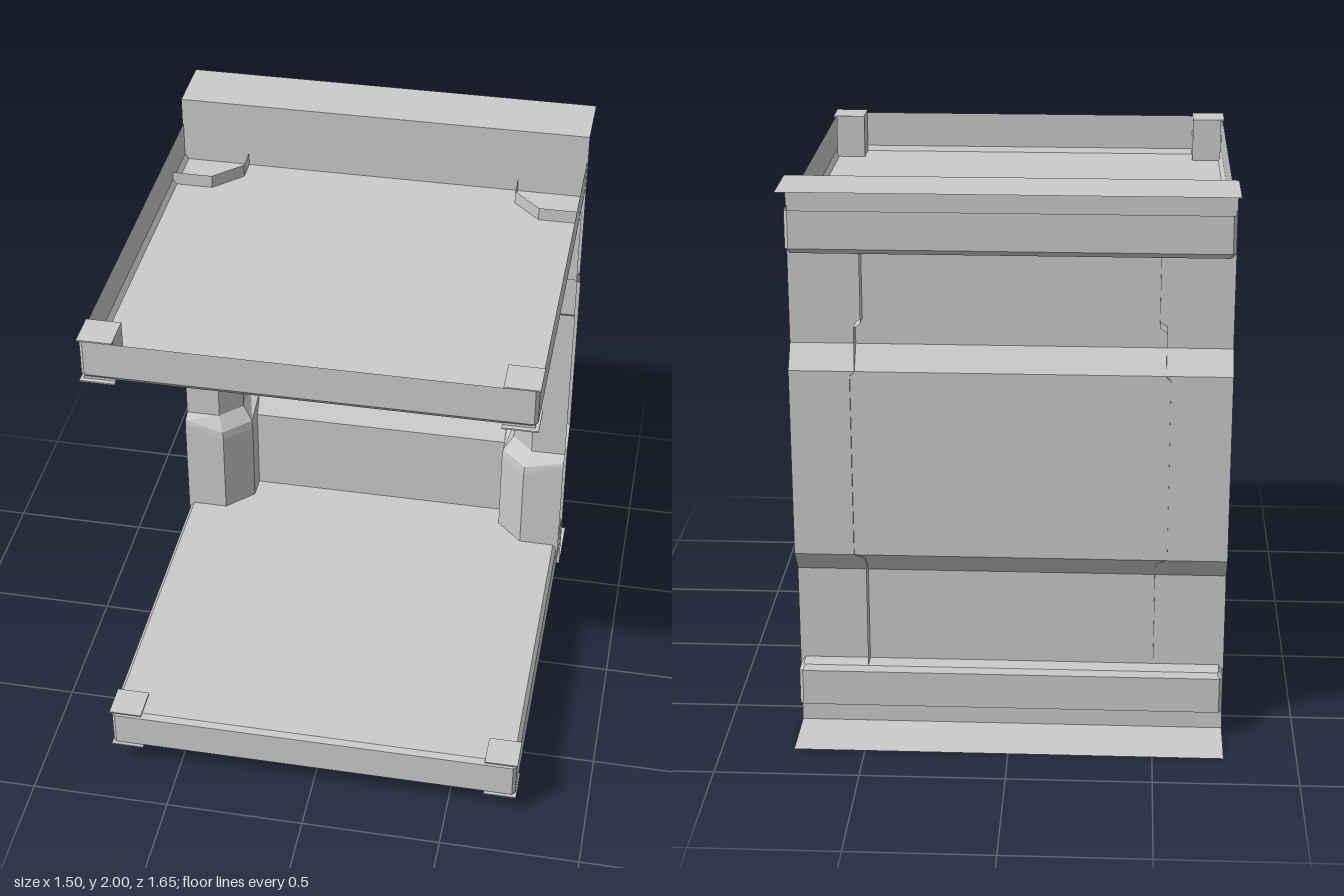
import * as THREE from 'three';

const material = new THREE.MeshStandardMaterial({
  color: 0xcccccc, flatShading: true, side: THREE.DoubleSide,
});

function addMesh(parent, geometry, name) {
  const mesh = new THREE.Mesh(geometry, material);
  mesh.name = name;
  parent.add(mesh);
  return mesh;
}

// Thin sheet joining rows of [x, y, z] points
function sheet(rows, closed = false) {
  const positions = [];
  for (let r = 0; r < rows.length - 1; r++) {
    const a = rows[r], b = rows[r + 1], n = a.length;
    for (let i = 0; i < (closed ? n : n - 1); i++) {
      const j = (i + 1) % n;
      positions.push(...a[i], ...a[j], ...b[j], ...a[i], ...b[j], ...b[i]);
    }
  }
  const geometry = new THREE.BufferGeometry();
  geometry.setAttribute('position', new THREE.Float32BufferAttribute(positions, 3));
  geometry.computeVertexNormals();
  return geometry;
}

// Square outline with chamfered corners, centred on the tray
const TRAY_Z = 0.072;
function outline(half, cut, y) {
  const h = half, c = half - cut;
  return [[c, h], [h, c], [h, -c], [c, -h], [-c, -h], [-h, -c], [-h, c], [-c, h]]
    .map(([x, z]) => [x, y, TRAY_Z - z]);
}

// Shallow tray: flat plate, bevelled edge, thin upright rim, corner blocks
function createTray(name) {
  const tray = new THREE.Group();
  tray.name = name;
  const plate = outline(0.73, 0.006, 1.752);
  const centre = plate.map(() => [0, 1.752, TRAY_Z]);
  addMesh(tray, sheet([centre, plate], true), 'trayPlate');
  addMesh(tray, sheet([plate, outline(0.744, 0.012, 1.77), outline(0.744, 0.012, 1.9)], true), 'trayRim');
  for (const side of [-1, 1]) {
    const block = addMesh(tray, new THREE.BoxGeometry(0.106, 0.16, 0.106), 'cornerBlock');
    block.position.set(side * 0.683, 1.828, 0.755);
    for (const y of [1.748, 1.907]) {
      const cap = addMesh(tray, new THREE.BoxGeometry(0.118, 0.005, 0.122), 'cornerCap');
      cap.position.set(side * 0.689, y, 0.763);
    }
  }
  return tray;
}

// Corner pillar: folded sheet that narrows in steps.
// Each level: height at the fold, height at the two outer edges, fold points
const WIDE = [0.5, 0.598], MIDDLE = [0.524, 0.608], NARROW = [0.54, 0.62];
const LEVELS = [
  [0.18, 0.18, WIDE], [0.585, 0.645, WIDE], [0.62, 0.66, [0.503, 0.6]], [0.675, 0.675, NARROW],
  [1.325, 1.325, NARROW], [1.34, 1.34, MIDDLE], [1.495, 1.495, MIDDLE],
  [1.51, 1.51, WIDE], [1.8, 1.8, WIDE],
];
function createPillar(side) {
  const rows = LEVELS.map(([y, edgeY, [inner, outer]]) => [
    [side * 0.75, edgeY, 0.09 - inner + -0.0 + 0.0],
    [side * outer, y, 0.09 - inner],
    [side * inner, y, 0.09 - outer],
    [side * inner, edgeY, -0.664],
  ]);
  return sheet(rows);
}

export function createModel() {
  const model = new THREE.Group();
  model.name = 'shelfModule';

  // Back wall with a recessed middle and a flange at each end
  const wallProfile = [
    [0, -0.822], [0, -0.593], [0.59, -0.593], [0.67, -0.655],
    [1.34, -0.655], [1.42, -0.593], [2, -0.593], [2, -0.822],
  ];
  addMesh(model, sheet(wallProfile.map(([y, z]) => [[-0.748, y, z], [0.748, y, z]])), 'backWall');

  // Upper tray opens upward, lower tray is its mirror
  model.add(createTray('upperTray'));
  const lower = createTray('lowerTray');
  lower.scale.y = -1;
  lower.position.y = 2;
  model.add(lower);

  addMesh(model, createPillar(-1), 'rightPillar');
  addMesh(model, createPillar(1), 'leftPillar');
  return model;
}
